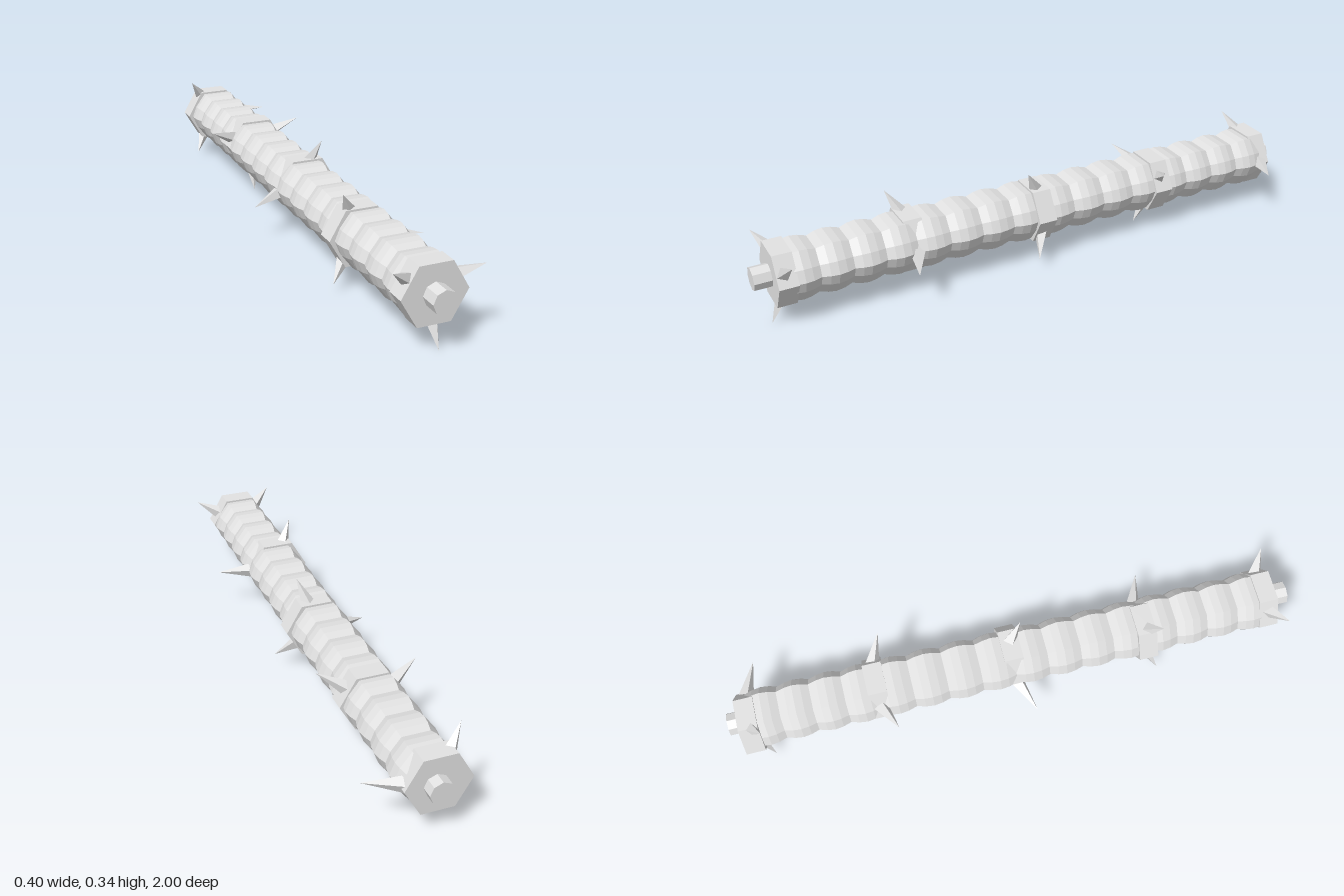
import * as THREE from 'three';

const CX = -0.004, CY = 0.177; // axis of the bar

export function createModel() {
  const model = new THREE.Group();
  const metal = new THREE.MeshStandardMaterial({ color: 0xe2e2e2, flatShading: true });
  metal.name = 'paleGreyMetal';

  const add = (name, geometry, x, y, z) => {
    const mesh = new THREE.Mesh(geometry, metal);
    mesh.name = name;
    mesh.position.set(x, y, z);
    model.add(mesh);
    return mesh;
  };

  // Collars: z position, sideways offset, and spike tips as [x, y]
  const collars = [
    { z: 0.908, dx: 0, tips: [[-0.148, 0.272], [0.152, 0.252], [0.008, 0.002]] },
    { z: 0.465, dx: -0.012, tips: [[-0.088, 0.333], [0.199, 0.158], [-0.118, 0.035]] },
    { z: -0.003, dx: 0.01, tips: [[0.052, 0.342], [-0.2, 0.133], [0.136, 0.052]] },
    { z: -0.48, dx: 0.006, tips: [[-0.183, 0.252], [0.164, 0.272], [-0.016, 0.002]] },
    { z: -0.926, dx: -0.01, tips: [[-0.112, 0.322], [0.199, 0.183], [-0.095, 0.023]] },
  ];

  // Ribbed shaft: four rounded bulges between each pair of collars
  for (let i = 0; i < collars.length - 1; i++) {
    add('ribbedShaft', ribbedGeometry(collars[i + 1].z, collars[i].z, 4), CX, CY, 0);
  }

  const up = new THREE.Vector3(0, 1, 0);
  for (const { z, dx, tips } of collars) {
    // Six-sided collar with a flat top
    const hex = new THREE.CylinderGeometry(0.11, 0.11, 0.066, 6);
    hex.rotateX(Math.PI / 2).rotateZ(Math.PI / 6);
    add('collar', hex, CX + dx, CY, z);

    // Spikes leaning toward the front
    for (const [x, y] of tips) {
      const tip = new THREE.Vector3(x, y, z + 0.046);
      const out = new THREE.Vector3(x - CX, y - CY, 0).normalize();
      const base = new THREE.Vector3(CX, CY, z).addScaledVector(out, 0.082);
      const dir = tip.clone().sub(base);
      const length = dir.length();
      const cone = new THREE.ConeGeometry(0.027, length, 4);
      cone.translate(0, length / 2, 0);
      const spike = add('spike', cone, base.x, base.y, base.z);
      spike.quaternion.setFromUnitVectors(up, dir.normalize());
    }
  }

  // Eight-sided end stubs
  for (const side of [1, -1]) {
    const stub = new THREE.CylinderGeometry(0.04, 0.04, 0.1, 8).rotateX(Math.PI / 2);
    add('endStub', stub, CX, CY, side * 0.95);
  }
  return model;
}

// Lofted length of shaft whose size swells and narrows along z
function ribbedGeometry(z0, z1, bulges) {
  const section = [
    [0.107, 0], [0.091, 0.041], [0.053, 0.091], [-0.053, 0.091], [-0.091, 0.041],
    [-0.107, 0], [-0.091, -0.041], [-0.053, -0.091], [0.053, -0.091], [0.091, -0.041],
  ];
  const n = section.length, steps = bulges * 4;
  const positions = [], index = [];
  for (let i = 0; i <= steps; i++) {
    const t = i / steps;
    const s = 0.88 + 0.12 * Math.abs(Math.sin(t * bulges * Math.PI));
    for (const [x, y] of section) positions.push(x * s, y * s, z0 + (z1 - z0) * t);
  }
  for (let i = 0; i < steps; i++) {
    for (let j = 0; j < n; j++) {
      const a = i * n + j, b = i * n + (j + 1) % n;
      index.push(a, b, a + n, b, b + n, a + n);
    }
  }
  const geometry = new THREE.BufferGeometry();
  geometry.setAttribute('position', new THREE.Float32BufferAttribute(positions, 3));
  geometry.setIndex(index);
  geometry.computeVertexNormals();
  return geometry;
}
